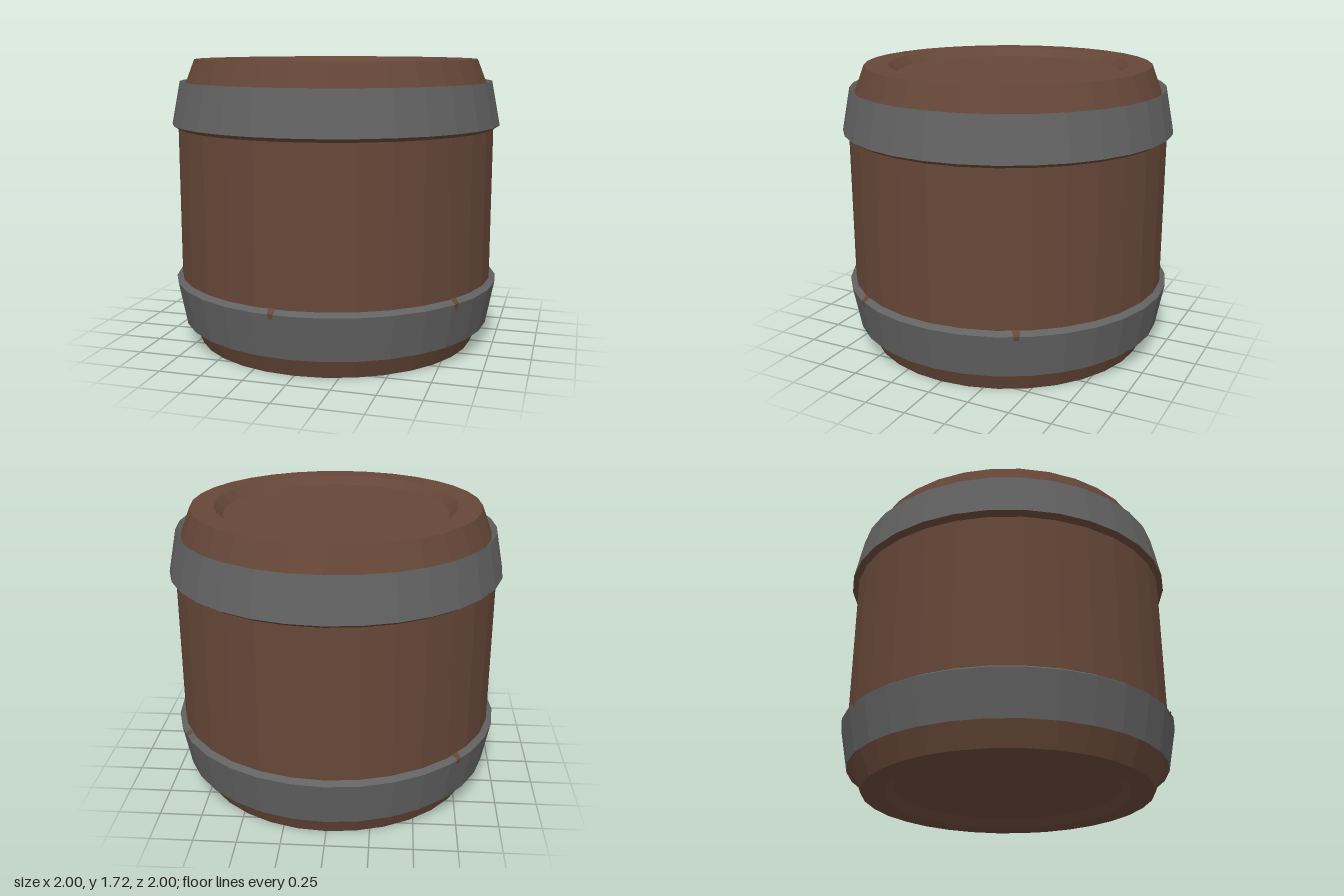
import * as THREE from 'three';

const SIDES = 32;
const H = 1.72;
const wood = new THREE.MeshStandardMaterial({ color: 0x664738, flatShading: true });
wood.name = 'brown wood';
const metal = new THREE.MeshStandardMaterial({ color: 0x626262, flatShading: true });
metal.name = 'grey iron';

// Revolved part; profile runs upwards along the outside as [radius, y]
function ring(name, profile, material) {
  const points = profile.map(([r, y]) => new THREE.Vector2(r, y));
  const mesh = new THREE.Mesh(new THREE.LatheGeometry(points, SIDES), material);
  mesh.name = name;
  return mesh;
}

// Small wood-coloured notch painted on the lower hoop at an angle from the front
function notch(degrees) {
  const a = THREE.MathUtils.degToRad(degrees);
  const step = (Math.PI * 2) / SIDES;
  const rows = [[0.968, 0.413, 0.024], [1.0, 0.388, 0.017], [0.995, 0.358, 0.012]];
  const positions = [];
  for (const [r, y, w] of rows) {
    for (const side of [-1, 1]) {
      const t = a + (side * w) / r;
      const fromMid = t - (Math.floor(t / step) + 0.5) * step;
      const d = (r * Math.cos(step / 2)) / Math.cos(fromMid) + 0.004;
      positions.push(Math.sin(t) * d, y, Math.cos(t) * d);
    }
  }
  const geometry = new THREE.BufferGeometry();
  geometry.setAttribute('position', new THREE.Float32BufferAttribute(positions, 3));
  geometry.setIndex([0, 2, 1, 1, 2, 3, 2, 4, 3, 3, 4, 5]);
  geometry.computeVertexNormals();
  const mesh = new THREE.Mesh(geometry, wood);
  mesh.name = 'hoopNotch';
  return mesh;
}

export function createModel() {
  const barrel = new THREE.Group();
  barrel.name = 'barrel';

  // Staves with recessed ends, mirrored top to bottom
  const half = [[0, 0.05], [0.67, 0.05], [0.72, 0], [0.86, 0], [0.92, 0.155], [0.965, 0.27]];
  const flip = (profile) => profile.map(([r, y]) => [r, H - y]).reverse();
  barrel.add(ring('woodenBody', [...half, ...flip(half)], wood));

  // Lower hoop: wooden underside, iron face and upper bevel
  barrel.add(ring('lowerHoopUnderside', [[0.92, 0.16], [0.95, 0.125]], wood));
  barrel.add(ring('lowerHoop', [[0.95, 0.125], [1, 0.385], [0.96, 0.41]], metal));

  // Upper hoop: wooden underside, iron face and inner lip
  barrel.add(ring('upperHoopUnderside', [[0.96, 1.31], [1, 1.335]], wood));
  barrel.add(ring('upperHoop', [[1, 1.335], [0.95, 1.59], [0.915, 1.555]], metal));

  for (const degrees of [-5, 58, 119, 229]) barrel.add(notch(degrees));
  return barrel;
}
